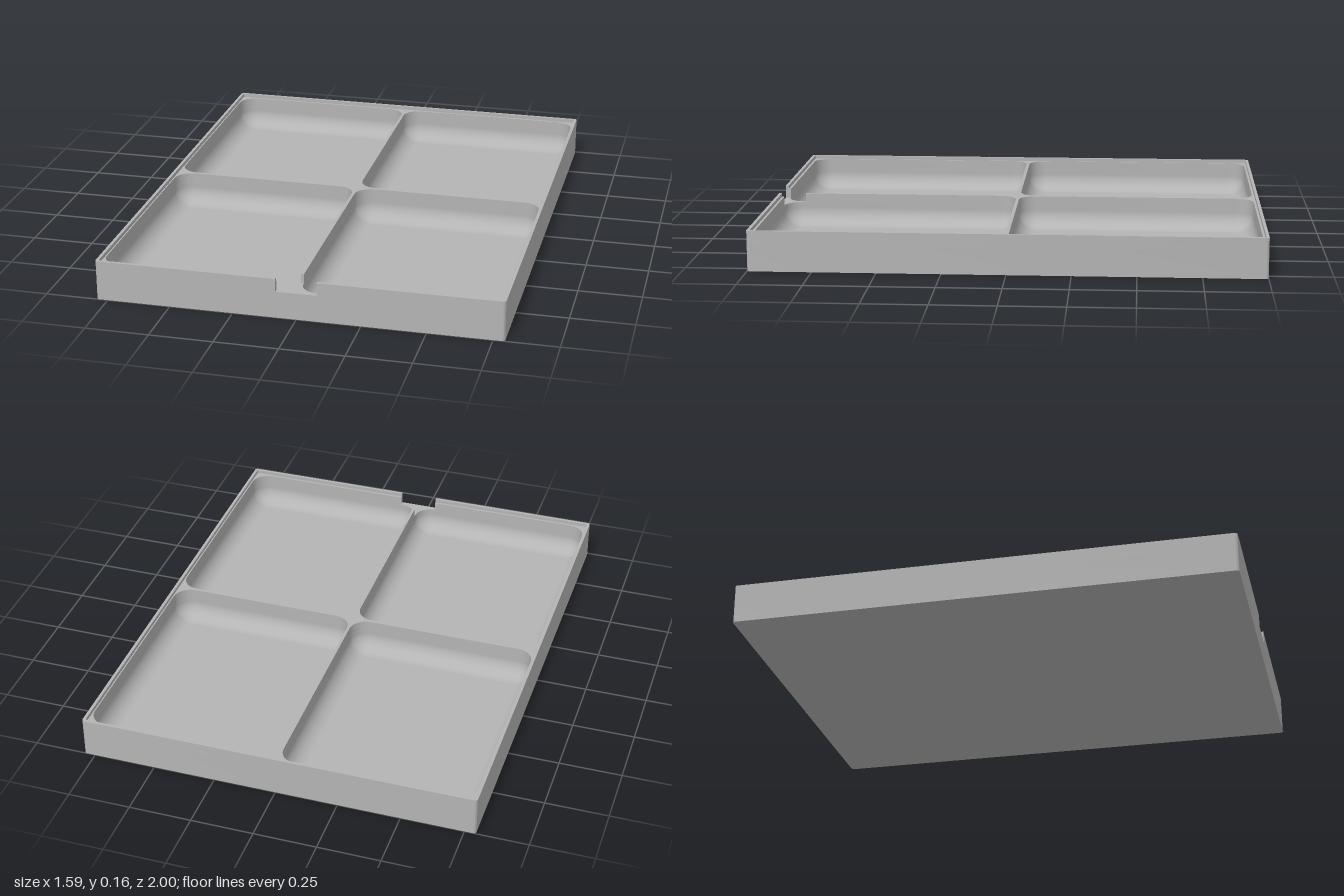
import * as THREE from 'three';
import { toCreasedNormals } from 'three/addons/utils/BufferGeometryUtils.js';

const HX = 0.795, HZ = 1;            // outer half sizes
const FLOOR = 0.015, CUT = 0.108, LEDGE = 0.145, TOP = 0.16;
const WALL = 0.012;                  // rim thickness
const R = 0.07;                      // pocket corner and floor fillet radius
const NOTCH = 0.08;                  // half width of the finger notch
const PX0 = 0.006, PX1 = 0.778, PZ0 = 0.0065, PZ1 = 0.979; // one pocket
const SEG = 10;
const V = (x, z) => new THREE.Vector2(x, z);

// Rounded rectangle in plan: corners in order (+x+z), (-x+z), (-x-z), (+x-z)
function loop(x0, z0, x1, z1, r) {
  const centres = [[x1 - r, z1 - r], [x0 + r, z1 - r], [x0 + r, z0 + r], [x1 - r, z0 + r]];
  return centres.flatMap(([cx, cz], k) => Array.from({ length: SEG + 1 }, (_, i) => {
    const a = (k + i / SEG) * Math.PI / 2;
    return V(cx + r * Math.cos(a), cz + r * Math.sin(a));
  }));
}

// Start a loop at a later corner
const startAt = (pts, corner) => {
  const n = corner * (SEG + 1);
  return [...pts.slice(n), ...pts.slice(0, n)];
};

// Horizontal layer between two heights
function layer(points, holes, y0, y1) {
  const shape = new THREE.Shape(points);
  shape.holes = holes.map(h => new THREE.Path(h));
  const geo = new THREE.ExtrudeGeometry(shape, { depth: y1 - y0, bevelEnabled: false });
  geo.rotateX(Math.PI / 2).translate(0, y1, 0);
  return toCreasedNormals(geo, 0.5);
}

// Filleted pocket bottom: rings shrink round fixed corner centres down to a flat floor
function bowl(x0, z0, x1, z1) {
  const pos = [], nor = [], idx = [];
  const n = 4 * (SEG + 1);
  for (let j = 0; j <= SEG; j++) {
    const t = j / SEG * Math.PI / 2, c = Math.cos(t), s = Math.sin(t);
    const centres = [[x1 - R, z1 - R], [x0 + R, z1 - R], [x0 + R, z0 + R], [x1 - R, z0 + R]];
    centres.forEach(([cx, cz], k) => {
      for (let i = 0; i <= SEG; i++) {
        const a = (k + i / SEG) * Math.PI / 2, ca = Math.cos(a), sa = Math.sin(a);
        pos.push(cx + R * c * ca, FLOOR + R * (1 - s), cz + R * c * sa);
        nor.push(-c * ca, s, -c * sa);
      }
    });
  }
  for (let j = 0; j < SEG; j++) for (let i = 0; i < n; i++) {
    const a = j * n + i, b = j * n + (i + 1) % n;
    idx.push(a, b, a + n, b, b + n, a + n);
  }
  // flat floor
  pos.push((x0 + x1) / 2, FLOOR, (z0 + z1) / 2);
  nor.push(0, 1, 0);
  const last = SEG * n, mid = last + n;
  for (let i = 0; i < n; i++) idx.push(last + i, last + (i + 1) % n, mid);
  const geo = new THREE.BufferGeometry();
  geo.setAttribute('position', new THREE.Float32BufferAttribute(pos, 3));
  geo.setAttribute('normal', new THREE.Float32BufferAttribute(nor, 3));
  geo.setIndex(idx);
  return geo;
}

export function createModel() {
  const group = new THREE.Group();
  group.name = 'dividedTray';
  const grey = new THREE.MeshStandardMaterial({ color: 0xb4b4b4, side: THREE.DoubleSide });
  grey.name = 'grey';
  const add = (name, geo) => {
    const mesh = new THREE.Mesh(geo, grey);
    mesh.name = name;
    group.add(mesh);
  };

  const outer = loop(-HX, -HZ, HX, HZ, 0.012);
  const rects = [
    ['backLeft', PX0, -PZ1, PX1, -PZ0], ['backRight', -PX1, -PZ1, -PX0, -PZ0],
    ['frontLeft', PX0, PZ0, PX1, PZ1], ['frontRight', -PX1, PZ0, -PX0, PZ1],
  ];
  const pockets = rects.map(([, ...r]) => loop(...r, R));

  // Base slab and lower walls
  add('base', layer(outer, [], 0, FLOOR - 0.002));
  add('lowerWalls', layer(outer, pockets, FLOOR - 0.002, CUT));

  // Outer edge running from one side of the notch round to the other
  const outside = [V(NOTCH, HZ), ...startAt(outer, 1).reverse(), V(-NOTCH, HZ)];

  // Upper walls: the notch opens both front pockets and trims the divider end
  const side = [V(PX0, HZ - 0.1), ...startAt(pockets[2], 2).slice(0, 3 * (SEG + 1)), V(NOTCH, PZ1)];
  const mirrored = side.map(p => V(-p.x, p.y)).reverse();
  add('upperWalls', layer([...side, ...outside, ...mirrored], pockets.slice(0, 2), CUT, LEDGE));

  // Thin raised rim, open at the notch
  const inner = loop(-HX + WALL, -HZ + WALL, HX - WALL, HZ - WALL, 0.004);
  add('rim', layer([...outside, V(-NOTCH, HZ - WALL), ...startAt(inner, 1), V(NOTCH, HZ - WALL)],
    [], LEDGE, TOP));

  // Rounded pocket bottoms
  for (const [name, ...r] of rects) add(name + 'PocketFloor', bowl(...r));
  return group;
}
